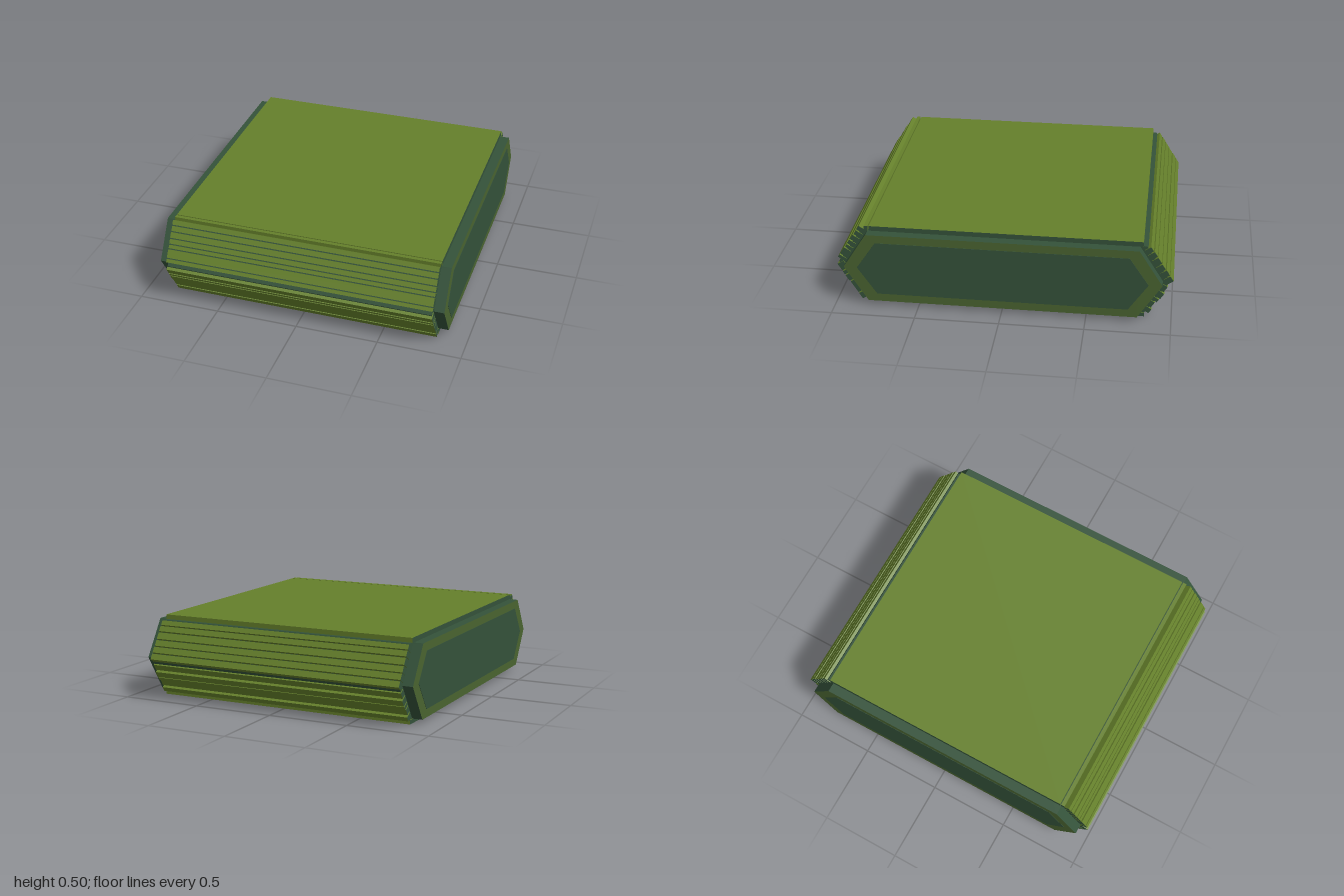
import * as THREE from 'three';

const mat = (color) => new THREE.MeshStandardMaterial({ color });
const olive = mat(0x65802b);
const dark = mat(0x34523a);
const rimGreen = mat(0x4a6430);

export function createModel() {
  const model = new THREE.Group();

  // Extrudes a (z, y) outline across x, centred; caps and sides can differ
  const slab = (name, pts, halfWidth, caps, sides) => {
    const shape = new THREE.Shape(pts.map(([z, y]) => new THREE.Vector2(z, y)));
    const geo = new THREE.ExtrudeGeometry(shape, { depth: 2 * halfWidth, bevelEnabled: false });
    geo.translate(0, 0, -halfWidth);
    geo.rotateY(-Math.PI / 2);
    const mesh = new THREE.Mesh(geo, [caps, sides]);
    mesh.name = name;
    model.add(mesh);
  };

  // Six-sided outline: flat half-length, tip half-length, bottom, top
  const hex = (flat, tip, low, high) => [
    [-flat, low], [flat, low], [tip, 0.25], [flat, high], [-flat, high], [-tip, 0.25],
  ];

  // Core with side rims and inner side panels
  slab('core', hex(0.8, 0.94, 0.03, 0.47), 0.878, rimGreen, dark);
  slab('sidePanels', hex(0.745, 0.86, 0.08, 0.42), 0.88, dark, dark);
  slab('underlayer', hex(0.84, 0.982, 0.028, 0.472), 0.815, dark, dark);

  // Top and bottom plates, with a channel across the underside
  const W = 0.82;
  slab('topPlate', [[-0.82, 0.47], [0.79, 0.47], [0.79, 0.5], [-0.82, 0.5]], W, dark, olive);
  slab('topStrip', [[0.797, 0.47], [0.82, 0.47], [0.82, 0.5], [0.797, 0.5]], W, dark, olive);
  slab('bottomFrontPlate', [[-0.345, 0], [0.815, 0], [0.815, 0.03], [-0.345, 0.03]], W, dark, olive);
  slab('bottomFrontBevel', [[-0.385, 0.03], [-0.345, 0], [-0.345, 0.03]], W, dark, dark);
  slab('bottomBackPlate', [[-0.84, 0.005], [-0.515, 0], [-0.515, 0.03], [-0.84, 0.03]], W, dark, olive);
  slab('bottomBackBevel', [[-0.515, 0], [-0.465, 0.03], [-0.515, 0.03]], W, dark, dark);

  // Slats on a sloped face; cuts are distances from the flat edge to the tip.
  // front and up are +1 or -1, and pick the face.
  const slats = (name, front, up, cuts, heights) => {
    const dz = 0.537, dy = -0.844; // along the slope
    const nz = 0.844, ny = 0.537;  // out of the slope
    const gap = 0.004;
    for (let i = 0; i < cuts.length - 1; i++) {
      const a = cuts[i] + gap, b = cuts[i + 1] - gap;
      const h = heights[i % heights.length];
      const at = (s, t) => [
        front * (0.8 + dz * s + nz * t),
        0.25 + up * (0.22 + dy * s + ny * t),
      ];
      slab(name + (i + 1), [at(a, 0.01), at(b, 0.01), at(b, h), at(a, h)], W, dark, olive);
    }
  };

  slats('frontUpperSlat', 1, 1, [0.0, 0.036, 0.074, 0.115, 0.15, 0.178, 0.236, 0.264], [0.057, 0.055, 0.058]);
  slats('frontLowerSlat', 1, -1, [0.0, 0.05, 0.14, 0.19, 0.22, 0.278], [0.057, 0.055, 0.058]);
  slats('backUpperSlat', -1, 1, [0.03, 0.068, 0.11, 0.16, 0.205, 0.25, 0.295], [0.054, 0.056, 0.055]);
  slats('backLowerSlat', -1, -1, [0.03, 0.07, 0.12, 0.15, 0.2, 0.25], [0.056, 0.045, 0.053]);

  return model;
}
